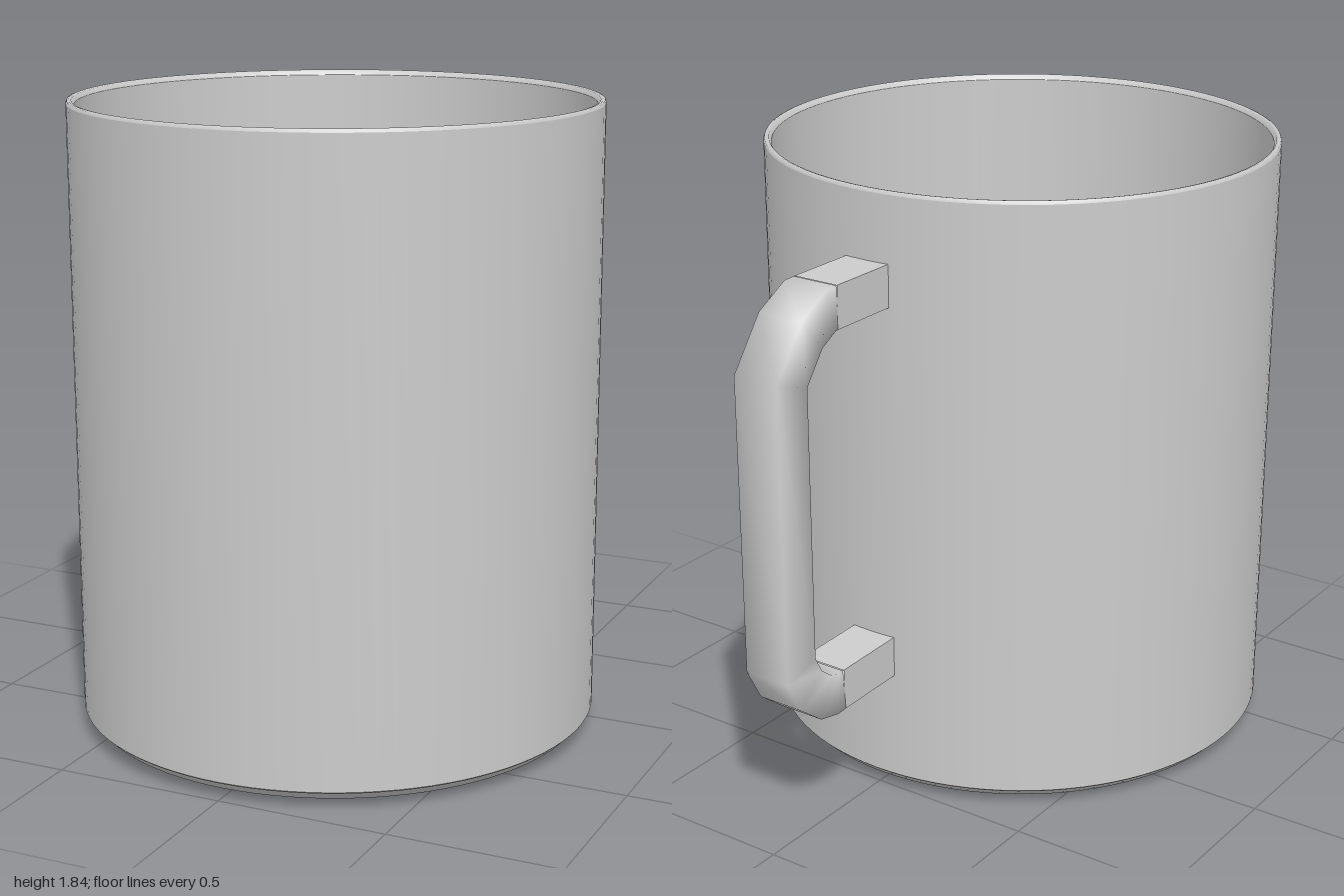
import * as THREE from 'three';
import { toCreasedNormals } from 'three/addons/utils/BufferGeometryUtils.js';

const material = new THREE.MeshStandardMaterial({ color: 0xcccccc, side: THREE.DoubleSide });

function add(group, name, geometry) {
  const mesh = new THREE.Mesh(geometry, material);
  mesh.name = name;
  group.add(mesh);
}

// Smooth turned part from [radius, y] points
function turned(profile) {
  return new THREE.LatheGeometry(profile.map(([r, y]) => new THREE.Vector2(r, y)), 96);
}

// Shallow bowl profile from the centre disc out to a given radius
function bowl(bottom, outer) {
  const inner = 0.15, curve = 1.5, steps = 10, profile = [];
  for (let i = 0; i <= steps; i++) {
    const r = inner + (outer - inner) * (i / steps);
    profile.push([r, bottom + curve - Math.sqrt(curve * curve - r * r)]);
  }
  return profile;
}

// Rectangular bar swept along [z, y] points with mitred joints
function bar(path) {
  const section = [[1, 1], [-1, 1], [-1, -1], [1, -1]];
  const halfWidth = 0.072, halfDepth = 0.062;
  const positions = [], index = [];
  const pts = path.map(([z, y]) => new THREE.Vector2(z, y));
  const last = pts.length - 1;
  pts.forEach((p, i) => {
    const a = pts[Math.max(i, 1)].clone().sub(pts[Math.max(i, 1) - 1]).normalize();
    const b = pts[Math.min(i + 1, last)].clone().sub(pts[Math.min(i, last - 1)]).normalize();
    const t = a.clone().add(b).normalize();
    const depth = halfDepth / t.dot(a);
    section.forEach(([u, v], k) => {
      positions.push(u * halfWidth, p.y + t.x * v * depth, p.x - t.y * v * depth);
      if (i) {
        const n = (k + 1) % 4, c = i * 4, d = c - 4;
        index.push(d + k, d + n, c + k, d + n, c + n, c + k);
      }
    });
  });
  const g = new THREE.BufferGeometry();
  g.setAttribute('position', new THREE.Float32BufferAttribute(positions, 3));
  g.setIndex(index);
  g.computeVertexNormals();
  return g;
}

export function createModel() {
  const mug = new THREE.Group();
  mug.name = 'mug';

  const body = new THREE.Group();
  body.name = 'body';
  body.position.z = 0.24;
  mug.add(body);

  // Softly shaded stepped foot, straight wall and thin rim
  add(body, 'foot', turned([
    [0.64, 0], [0.66, 0], [0.66, 0.025], [0.73, 0.025], [0.73, 0.05], [0.755, 0.05], [0.76, 0.055],
  ]));
  add(body, 'outerWall', turned([[0.76, 0.055], [0.76, 1.83]]));
  add(body, 'rim', turned([
    [0.76, 1.83], [0.757, 1.838], [0.752, 1.84], [0.744, 1.838], [0.737, 1.825],
  ]));
  add(body, 'innerWall', turned([[0.737, 1.825], [0.737, 0.275]]));

  // Bowl-shaped inside floor with a flat centre
  add(body, 'innerFloor', turned(bowl(0.08, 0.737).reverse()));
  add(body, 'floorCentre', turned([[0.15, 0.0875], [0, 0.09]]));

  // Underside of the bowl, hanging inside the hollow foot
  add(body, 'underside', turned(bowl(0.06, 0.735)));
  add(body, 'undersideDisc', turned([[0, 0.0675], [0.15, 0.0675]]));
  add(body, 'footInside', turned([[0.735, 0.255], [0.73, 0.1], [0.7, 0.06], [0.65, 0.05], [0.64, 0]]));

  // Handle: two straight box stubs and a softly shaded bent grip
  const handle = new THREE.Group();
  handle.name = 'handle';
  add(handle, 'upperStub', toCreasedNormals(bar([[-0.505, 1.574], [-0.74, 1.574]]), 0.6));
  add(handle, 'grip', bar([
    [-0.74, 1.574], [-0.765, 1.573], [-0.848, 1.528], [-0.936, 1.41],
    [-0.936, 0.575], [-0.895, 0.5], [-0.83, 0.45], [-0.775, 0.438], [-0.75, 0.44],
  ]));
  add(handle, 'lowerStub', toCreasedNormals(bar([[-0.75, 0.44], [-0.505, 0.445]]), 0.6));
  mug.add(handle);

  return mug;
}
